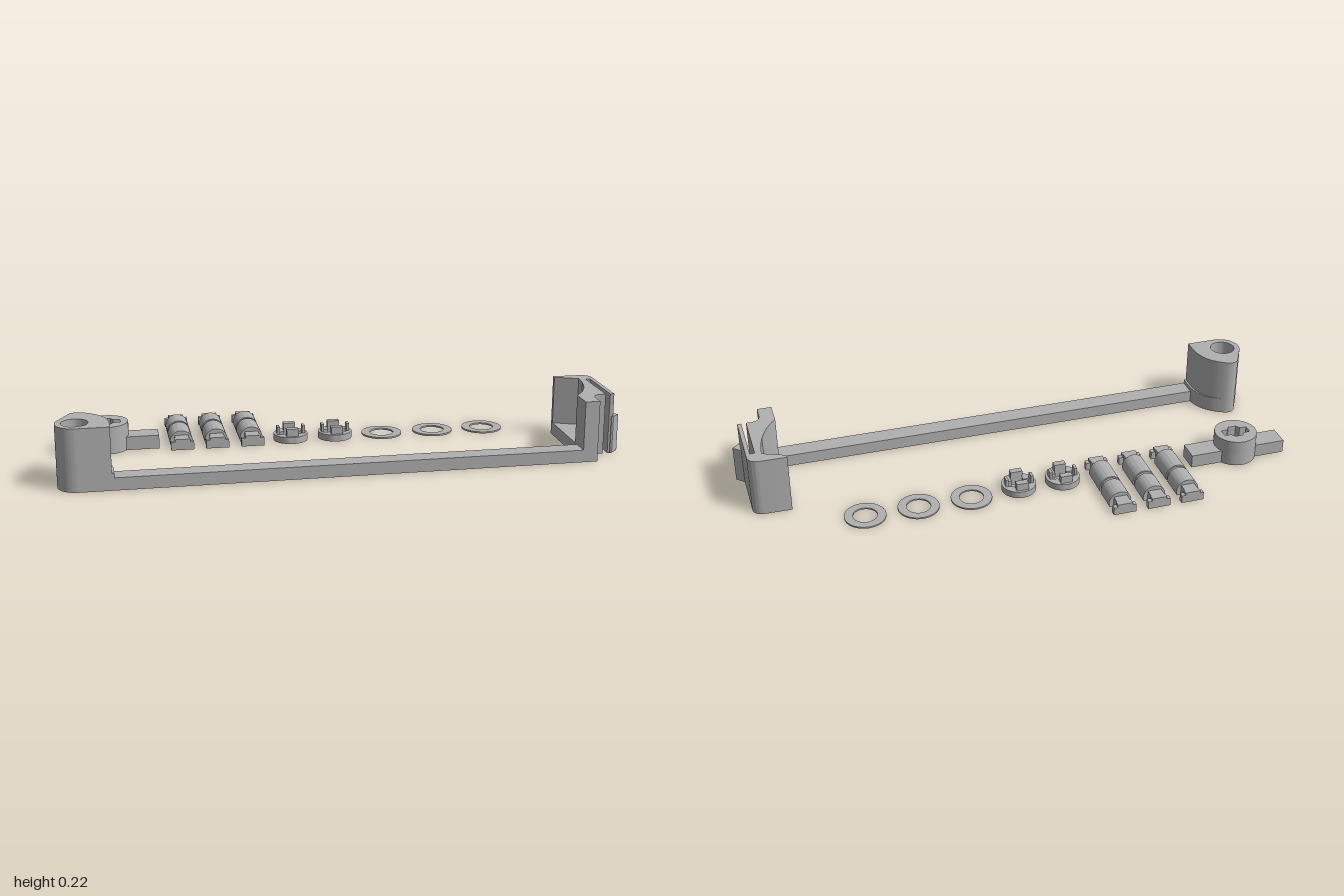
import * as THREE from 'three';
import { toCreasedNormals } from 'three/addons/utils/BufferGeometryUtils.js';

export function createModel() {
  const model = new THREE.Group();
  const grey = new THREE.MeshStandardMaterial({ color: 0xb0b0b0 });
  grey.name = 'plain grey';

  const add = (parent, name, geo) => {
    const mesh = new THREE.Mesh(geo, grey);
    mesh.name = name;
    parent.add(mesh);
    return mesh;
  };
  const group = (name, x = 0, z = 0) => {
    const g = new THREE.Group();
    g.name = name;
    g.position.set(x, 0, z);
    model.add(g);
    return g;
  };
  // Plan outline (shape y = -z) raised from y0 to y1
  const rise = (shape, y0, y1) => {
    const g = new THREE.ExtrudeGeometry(shape, { depth: y1 - y0, bevelEnabled: false, curveSegments: 20 });
    g.rotateX(-Math.PI / 2).translate(0, y0, 0);
    return toCreasedNormals(g, 0.6);
  };
  const box = (x0, x1, y0, y1, z0, z1) =>
    new THREE.BoxGeometry(x1 - x0, y1 - y0, z1 - z0).translate((x0 + x1) / 2, (y0 + y1) / 2, (z0 + z1) / 2);
  const disc = (r, holes = []) => {
    const s = new THREE.Shape().absarc(0, 0, r, 0, Math.PI * 2);
    s.holes.push(...holes);
    return s;
  };
  const circleHole = (x, y, r) => new THREE.Path().absarc(x, y, r, 0, Math.PI * 2, true);
  const polyHole = (pts) => new THREE.Path(pts.map(([x, y]) => new THREE.Vector2(x, y)));

  // Long connecting bar
  const arm = group('mountingArm');
  add(arm, 'crossBar', box(-0.815, 0.837, 0, 0.045, 0.29, 0.36));

  // Left post with a vertical through hole; the foot is slightly wider
  const postShape = (inset) => {
    const s = new THREE.Shape();
    s.moveTo(-0.93, -0.36);
    s.lineTo(-0.81 - inset, -0.36);
    s.lineTo(-0.81 - inset, -0.3);
    s.quadraticCurveTo(-0.815 - inset, -0.215, -0.895, -0.175);
    s.quadraticCurveTo(-0.93, -0.155, -0.95, -0.18);
    s.lineTo(-0.9906, -0.255);
    s.absarc(-0.93, -0.29, 0.07, Math.PI * 5 / 6, Math.PI * 1.5);
    s.holes.push(circleHole(-0.933, -0.29, 0.046));
    return s;
  };
  add(arm, 'postFoot', rise(postShape(0), 0, 0.06));
  add(arm, 'post', rise(postShape(0.008), 0.06, 0.223));

  // Right holder: solid floor, scooped wall above, sprung clip on the outside
  const holderShape = (scooped) => {
    const s = new THREE.Shape();
    s.moveTo(0.835, -0.36);
    s.lineTo(0.888, -0.36);
    s.lineTo(0.888, -0.31);
    s.quadraticCurveTo(0.89, -0.277, 0.92, -0.275);
    s.lineTo(0.94, -0.275);
    s.lineTo(0.94, -0.065);
    s.lineTo(0.957, -0.065);
    s.lineTo(0.957, -0.275);
    s.lineTo(0.972, -0.275);
    s.lineTo(0.972, -0.045);
    s.quadraticCurveTo(0.97, -0.01, 0.935, -0.007);
    s.lineTo(0.835, -0.005);
    if (scooped) {
      s.lineTo(0.835, -0.02);
      s.lineTo(0.917, -0.055);
      s.quadraticCurveTo(0.91, -0.19, 0.835, -0.27);
    }
    s.closePath();
    return s;
  };
  add(arm, 'holderFloor', rise(holderShape(false), 0, 0.045));
  add(arm, 'holderWall', rise(holderShape(true), 0.045, 0.222));
  const hook = new THREE.Shape();
  hook.moveTo(0.965, -0.28);
  hook.lineTo(0.972, -0.28);
  hook.lineTo(1, -0.253);
  hook.lineTo(0.972, -0.228);
  hook.lineTo(0.965, -0.228);
  hook.closePath();
  add(arm, 'clipHook', rise(hook, 0.002, 0.138));

  // Turning key: round hub with a keyed pocket and two wings
  const key = group('turningKey', -0.817, -0.118);
  const pocket = polyHole([[-0.05, -0.016], [-0.05, 0.016], [-0.025, 0.018], [-0.015, 0.033], [0.015, 0.033], [0.025, 0.018],
    [0.05, 0.016], [0.05, -0.016], [0.025, -0.018], [0.015, -0.033], [-0.015, -0.033], [-0.025, -0.018]]);
  add(key, 'hubBase', rise(disc(0.079), 0, 0.05));
  add(key, 'hub', rise(disc(0.079, [pocket]), 0.05, 0.101));
  for (const s of [-1, 1]) add(key, 'wing', box(s < 0 ? -0.183 : 0.06, s < 0 ? -0.06 : 0.187, 0, 0.05, -0.04, 0.04));

  // Flat-bottomed pins, lying along z
  const barrel = (r, z0, z1) => {
    const cy = 0.015, a = Math.asin(cy / r);
    const s = new THREE.Shape().absarc(0, cy, r, -a, Math.PI + a);
    s.closePath();
    const g = new THREE.ExtrudeGeometry(s, { depth: z1 - z0, bevelEnabled: false, curveSegments: 24 });
    return toCreasedNormals(g.translate(0, 0, z0), 0.6);
  };
  for (const x of [-0.548, -0.42, -0.29]) {
    const pin = group('pin', x, -0.203);
    add(pin, 'rearBarrel', barrel(0.042, -0.108, -0.02));
    add(pin, 'groove', barrel(0.037, -0.02, -0.006));
    add(pin, 'frontBarrel', barrel(0.042, -0.006, 0.108));
    for (const s of [-1, 1]) {
      add(pin, 'neck', box(-0.025, 0.025, 0, 0.04, Math.min(s * 0.105, s * 0.15), Math.max(s * 0.105, s * 0.15)));
      add(pin, 'endFlange', box(-0.042, 0.042, 0, 0.03, Math.min(s * 0.14, s * 0.16), Math.max(s * 0.14, s * 0.16)));
      add(pin, 'endTop', box(-0.028, 0.028, 0.03, 0.04, Math.min(s * 0.14, s * 0.16), Math.max(s * 0.14, s * 0.16)));
    }
  }

  // Caps with a cross-shaped opening and four raised prongs
  for (const x of [-0.142, 0.025]) {
    const cap = group('prongedCap', x, -0.102);
    const cross = polyHole([[-0.042, -0.016], [-0.042, 0.016], [-0.022, 0.016], [-0.022, 0.028], [0.022, 0.028], [0.022, 0.016],
      [0.042, 0.016], [0.042, -0.016], [0.022, -0.016], [0.022, -0.028], [-0.022, -0.028], [-0.022, -0.016]]);
    add(cap, 'capRing', rise(disc(0.063, [cross]), 0, 0.025));
    for (let i = 0; i < 4; i++) {
      const half = i % 2 ? 0.014 : 0.022, inner = i % 2 ? 0.042 : 0.028;
      add(cap, 'prong', box(-half, half, 0.02, 0.053, inner, 0.052)).rotation.y = i * Math.PI / 2;
    }
  }

  // Thin washers
  for (const x of [0.206, 0.402, 0.596]) {
    add(group('washer', x, -0.112), 'washerRing', rise(disc(0.075, [circleHole(0, 0, 0.044)]), 0, 0.006));
  }
  return model;
}
